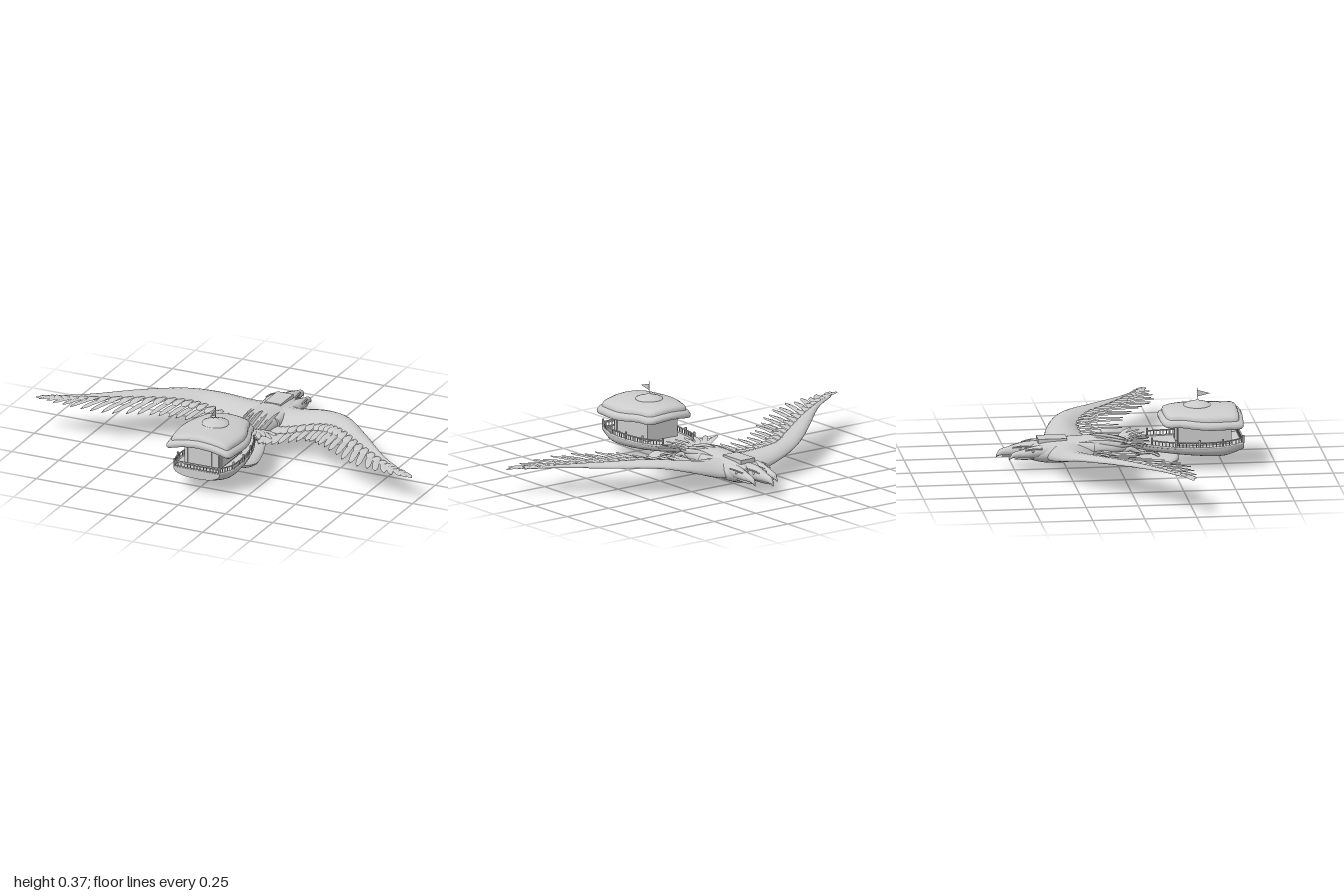
import * as THREE from 'three';
import { toCreasedNormals } from 'three/addons/utils/BufferGeometryUtils.js';

const V = (x, y, z) => new THREE.Vector3(x, y, z);
const MID = 0.02; // centre line of the craft
const mat = new THREE.MeshStandardMaterial({ color: 0xcccccc, side: THREE.DoubleSide });

function add(parent, name, geo) {
  const m = new THREE.Mesh(geo, mat);
  m.name = name;
  parent.add(m);
  return m;
}

// Smoothly interpolated row of a table, t in 0..1
function rowAt(table, t) {
  const f = t * (table.length - 1), i = Math.min(Math.floor(f), table.length - 2), u = f - i;
  const at = (k) => table[Math.max(0, Math.min(table.length - 1, k))];
  return table[0].map((_, c) => {
    const [a, b, d, e] = [at(i - 1)[c], at(i)[c], at(i + 1)[c], at(i + 2)[c]];
    return b + 0.5 * u * (d - a + u * (2 * a - 5 * b + 4 * d - e + u * (3 * (b - d) + e - a)));
  });
}

// Closed skin through rings of points, capped at both ends
function skin(rings, crease = 0.7) {
  const n = rings[0].length, pos = [], idx = [];
  rings.forEach((r) => r.forEach((p) => pos.push(p.x, p.y, p.z)));
  for (let j = 0; j < rings.length - 1; j++) {
    for (let i = 0; i < n; i++) {
      const a = j * n + i, b = j * n + (i + 1) % n;
      idx.push(a, b, a + n, b, b + n, a + n);
    }
  }
  [0, rings.length - 1].forEach((j) => {
    const c = rings[j].reduce((s, p) => s.add(p), V(0, 0, 0)).divideScalar(n), k = pos.length / 3;
    pos.push(c.x, c.y, c.z);
    for (let i = 0; i < n; i++) {
      const a = j * n + i, b = j * n + (i + 1) % n;
      if (j) idx.push(k, a, b); else idx.push(k, b, a);
    }
  });
  const g = new THREE.BufferGeometry();
  g.setAttribute('position', new THREE.Float32BufferAttribute(pos, 3));
  g.setIndex(idx);
  return toCreasedNormals(g, crease);
}

// Rounded body along z from rows [z, y, rx, ry], optional x offset
function body(table, x = 0, steps = 28, sides = 24) {
  return skin(Array.from({ length: steps + 1 }, (_, j) => {
    const [z, y, rx, ry] = rowAt(table, j / steps);
    return Array.from({ length: sides }, (_, i) => {
      const a = (i / sides) * Math.PI * 2;
      return V(MID + x + rx * Math.cos(a), y + ry * Math.sin(a), z);
    });
  }));
}

function tube(points, r, steps = 16) {
  return new THREE.TubeGeometry(new THREE.CatmullRomCurve3(points), steps, r, 6);
}

// Thin pointed blade from a to b
function feather(a, b, w) {
  const g = new THREE.PlaneGeometry(1, 1, 2, 8), p = g.attributes.position, dir = b.clone().sub(a);
  const side = V(-dir.z, 0, dir.x).normalize();
  for (let i = 0; i < p.count; i++) {
    const s = p.getY(i) + 0.5, k = p.getX(i);
    const wide = w * (0.6 + 0.4 * Math.min(1, s * 2)) * Math.sqrt(Math.max(0, 1 - s ** 5));
    const q = a.clone().addScaledVector(dir, s).addScaledVector(side, k * wide);
    p.setXYZ(i, q.x, q.y - Math.abs(k) * w * 0.25 + 0.008 * Math.sin(s * Math.PI), q.z);
  }
  g.computeVertexNormals();
  return g;
}

function wing(sd, heights, stretch) {
  const g = new THREE.Group();
  g.name = sd > 0 ? 'leftWing' : 'rightWing';
  // lead x, lead z, trail x, trail z, thickness, camber, feather tip x, feather tip z
  const rows = [
    [0.06, -0.36, 0.06, -0.10, 0.040, 0.030, 0.08, 0.08],
    [0.13, -0.345, 0.14, -0.12, 0.036, 0.030, 0.15, 0.075],
    [0.27, -0.315, 0.30, -0.15, 0.024, 0.026, 0.31, 0.04],
    [0.41, -0.245, 0.43, -0.09, 0.016, 0.016, 0.45, 0.12],
    [0.57, -0.10, 0.59, 0.02, 0.012, 0.010, 0.64, 0.235],
    [0.755, 0.085, 0.76, 0.13, 0.007, 0.005, 0.83, 0.25],
    [0.90, 0.185, 0.88, 0.20, 0.003, 0.002, 0.97, 0.237],
  ].map((r, i) => [...r, heights[i]]);
  const px = (x) => MID + sd * stretch * x;
  add(g, 'wingArm', skin(Array.from({ length: 41 }, (_, j) => {
    const [lx, lz, tx, tz, th, cam, , , y] = rowAt(rows, j / 40);
    return Array.from({ length: 20 }, (_, i) => {
      const a = (i / 20) * Math.PI * 2, c = 0.5 - 0.5 * Math.cos(a);
      const thick = th * Math.sin(a) * (1.2 - 0.8 * c);
      return V(px(lx + (tx - lx) * c), y + thick - cam * (2 * c - 1) ** 2, lz + (tz - lz) * c);
    });
  }), 1.2));
  // flight feathers and shorter coverts
  const count = 25;
  for (let i = 0; i < count; i++) {
    const [lx, lz, tx, tz, , cam, fx, fz, y] = rowAt(rows, i / (count - 1));
    const root = V(px(tx + (lx - tx) * 0.12), y - cam, tz + (lz - tz) * 0.12);
    const tip = V(px(fx), y - cam * 0.7 + 0.004 * (i % 2), fz + 0.012 * (i % 2));
    add(g, 'flightFeather', feather(root, tip, 0.034));
    root.y += cam * 0.5 + 0.003;
    add(g, 'covertFeather', feather(root, root.clone().lerp(tip, 0.4), 0.042));
  }
  return g;
}

// Head and neck with hooked beak, crest and eyes
function head(x, shift, s) {
  const g = new THREE.Group();
  g.name = 'birdHead';
  const rows = [
    [-0.18, 0.105, 0.035, 0.035], [-0.30, 0.105, 0.036, 0.038], [-0.38, 0.10, 0.034, 0.036],
    [-0.44, 0.10, 0.038, 0.034], [-0.49, 0.094, 0.030, 0.029], [-0.53, 0.09, 0.021, 0.021],
    [-0.565, 0.085, 0.014, 0.016], [-0.582, 0.072, 0.007, 0.009], [-0.588, 0.060, 0.001, 0.002],
  ].map(([z, y, rx, ry]) => [z + shift, y, rx * s, ry * s]);
  add(g, 'neckAndBeak', body(rows, x, 36, 16));
  add(g, 'lowerBeak', body([[-0.47, 0.07, 0.02, 0.009], [-0.52, 0.068, 0.014, 0.007],
    [-0.56, 0.066, 0.003, 0.002]].map(([z, ...r]) => [z + shift, ...r]), x, 8, 10));
  [-1, 1].forEach((e) => {
    add(g, 'eye', new THREE.SphereGeometry(0.006, 10, 8)).position.set(MID + x + e * 0.031 * s, 0.106, -0.475 + shift);
    add(g, 'brow', tube([V(MID + x + e * 0.034 * s, 0.118, -0.43 + shift),
      V(MID + x + e * 0.031 * s, 0.117, -0.47 + shift), V(MID + x + e * 0.02 * s, 0.11, -0.51 + shift)], 0.004));
  });
  return g;
}

function bird() {
  const g = new THREE.Group();
  g.name = 'bird';
  add(g, 'birdBody', body([
    [0.08, 0.10, 0.03, 0.015], [0.0, 0.10, 0.07, 0.035], [-0.1, 0.10, 0.085, 0.055], [-0.2, 0.093, 0.095, 0.058],
    [-0.3, 0.088, 0.108, 0.058], [-0.37, 0.087, 0.10, 0.052], [-0.43, 0.085, 0.075, 0.035]]));
  g.add(head(0, 0, 1), head(-0.066, 0.055, 0.85), head(0.066, 0.055, 0.85));
  g.add(wing(1, [0.105, 0.11, 0.142, 0.16, 0.15, 0.138, 0.13], 1));
  g.add(wing(-1, [0.105, 0.11, 0.135, 0.158, 0.174, 0.182, 0.185], 1.05));
  // harness plate, back ridges, tail fan and legs
  add(g, 'backPlate', new THREE.BoxGeometry(0.085, 0.02, 0.14)).position.set(MID, 0.142, -0.32);
  [-0.06, -0.03, 0, 0.03, 0.06].forEach((x) => add(g, 'backRidge', body([[-0.2, 0.125, 0.006, 0.012],
    [-0.1, 0.145 - Math.abs(x) * 0.3, 0.012, 0.018], [0.0, 0.13 - Math.abs(x) * 0.2, 0.011, 0.015],
    [0.06, 0.115, 0.003, 0.005]], x, 14, 10)));
  for (let i = -7; i <= 7; i++) {
    const a = i * 0.17, len = 0.15 + 0.035 * Math.abs(i) / 7;
    add(g, 'tailFeather', feather(V(MID + i * 0.007, 0.12, 0.0),
      V(MID + Math.sin(a) * len * 1.05, 0.13 + 0.012 * (i & 1), 0.03 + Math.cos(a) * len * 0.75), 0.028));
  }
  [-1, 1].forEach((s) => {
    const x = MID + s * 0.05;
    add(g, 'leg', tube([V(x, 0.075, -0.1), V(x, 0.07, 0.0), V(x, 0.095, 0.05), V(x, 0.07, 0.1)], 0.012));
    [-0.02, 0, 0.02].forEach((d) => add(g, 'talon', tube([V(x, 0.07, 0.1), V(x + d, 0.076, 0.15),
      V(x + d * 1.3, 0.06, 0.19)], 0.006, 10)));
  });
  // smooth carrying pod slung under the hull
  add(g, 'lowerPod', body([[0.286, 0.046, 0.03, 0.008], [0.272, 0.042, 0.09, 0.023], [0.2, 0.033, 0.128, 0.033],
    [0.1, 0.037, 0.115, 0.028], [0.0, 0.051, 0.085, 0.022], [-0.1, 0.065, 0.06, 0.025]]));
  return g;
}

function boat() {
  const g = new THREE.Group();
  g.name = 'boat';
  // z, half width, deck height, keel height
  const rows = [[0.59, 0.122, 0.122, 0.078], [0.5, 0.15, 0.113, 0.05], [0.4, 0.15, 0.109, 0.051],
    [0.3, 0.14, 0.109, 0.06], [0.2, 0.115, 0.113, 0.071], [0.1, 0.07, 0.12, 0.084], [0.03, 0.015, 0.125, 0.105]];
  add(g, 'hull', skin(Array.from({ length: 31 }, (_, j) => {
    const [z, w, top, low] = rowAt(rows, j / 30);
    return Array.from({ length: 21 }, (_, i) => {
      const a = (i / 20) * Math.PI, c = Math.cos(a);
      return V(MID + w * Math.sign(c) * Math.abs(c) ** 0.8, top - (top - low) * Math.sin(a) ** 0.8, z);
    });
  })));
  // gunwale, balustrade and corner posts
  const post = (x, y, z, h, r) => add(g, 'railPost', new THREE.CylinderGeometry(r, r, h, 6)).position.set(x, y + h / 2, z);
  const edge = (s, t, dy) => { const [z, w, y] = rowAt(rows, t); return V(MID + s * w * 0.97, y + dy, z - 0.004); };
  [-1, 1].forEach((s) => {
    const line = (end, dy) => Array.from({ length: 15 }, (_, i) => edge(s, (i / 14) * end, dy));
    add(g, 'gunwale', tube(line(1, 0), 0.006, 40));
    add(g, 'handRail', tube(line(0.74, 0.026), 0.0035, 40));
    for (let i = 0; i <= 28; i++) {
      const p = edge(s, (i / 28) * 0.74, 0), tall = i % 7 === 0;
      post(p.x, p.y, p.z, tall ? 0.04 : 0.026, tall ? 0.005 : 0.0022);
    }
  });
  for (let i = 1; i < 14; i++) post(MID - 0.118 + i * 0.0169, 0.122, 0.584, 0.026, 0.0022);
  [0, 0.026].forEach((h) => add(g, 'sternRail', new THREE.BoxGeometry(0.24, 0.007, 0.007)).position.set(MID, 0.122 + h, 0.584));
  // cabin with framed panels
  add(g, 'cabin', new THREE.BoxGeometry(0.17, 0.15, 0.25)).position.set(MID, 0.18, 0.405);
  [0.282, 0.528].forEach((z) => add(g, 'door', new THREE.BoxGeometry(0.105, 0.105, 0.01)).position.set(MID, 0.165, z));
  [-1, 1].forEach((s) => {
    add(g, 'sidePanel', new THREE.BoxGeometry(0.008, 0.1, 0.2)).position.set(MID + s * 0.085, 0.165, 0.395);
    [0.285, 0.525].forEach((z) => add(g, 'cornerPillar', new THREE.BoxGeometry(0.016, 0.14, 0.016)).position.set(MID + s * 0.082, 0.175, z));
  });
  // drooping roof: outline rings scaled inward and raised
  const half = [[0.12, 0.586], [0.162, 0.578], [0.176, 0.52], [0.184, 0.42], [0.172, 0.35], [0.145, 0.28], [0.125, 0.22], [0.09, 0.2]];
  const loop = [...half, ...half.map(([x, z]) => [-x, z]).reverse()].map(([x, z]) => V(x, 0, z));
  const outline = new THREE.CatmullRomCurve3(loop, true, 'centripetal').getPoints(64).slice(0, 64);
  const levels = [[0.45, 0.238], [0.9, 0.242], [0.97, 0.243], [1, 0.252], [1, 0.264], [0.965, 0.272], [0.9, 0.274],
    [0.895, 0.284], [0.87, 0.291], [0.8, 0.294], [0.6, 0.292], [0.35, 0.291], [0.05, 0.292]];
  add(g, 'roof', skin(levels.map(([s, y]) => outline.map((p) => {
    const x = p.x * s, dz = (p.z - 0.39) * s;
    return V(MID + x, y - 0.04 * (x / 0.18) ** 2 - (dz < 0 ? 0.022 : 0.01) * (dz / 0.19) ** 2, 0.39 + dz);
  })), 0.8));
  // roof cap, mast and pennant
  const cap = [[0.066, 0], [0.066, 0.005], [0.05, 0.012], [0.03, 0.018], [0.012, 0.021], [0.008, 0.027], [0, 0.03]];
  add(g, 'roofCap', new THREE.LatheGeometry(cap.map(([r, y]) => new THREE.Vector2(r, y)), 20)).position.set(MID, 0.286, 0.38);
  add(g, 'mast', new THREE.CylinderGeometry(0.002, 0.002, 0.07, 6)).position.set(MID, 0.337, 0.38);
  const flag = new THREE.Shape([[0, 0], [0, 0.032], [0.062, 0.014]].map(([x, y]) => new THREE.Vector2(x, y)));
  const pennant = add(g, 'pennant', new THREE.ShapeGeometry(flag));
  pennant.rotation.y = -Math.PI / 2;
  pennant.position.set(MID, 0.328, 0.38);
  return g;
}

export function createModel() {
  const model = new THREE.Group();
  model.name = 'birdDrawnAirship';
  model.add(bird(), boat());
  return model;
}
